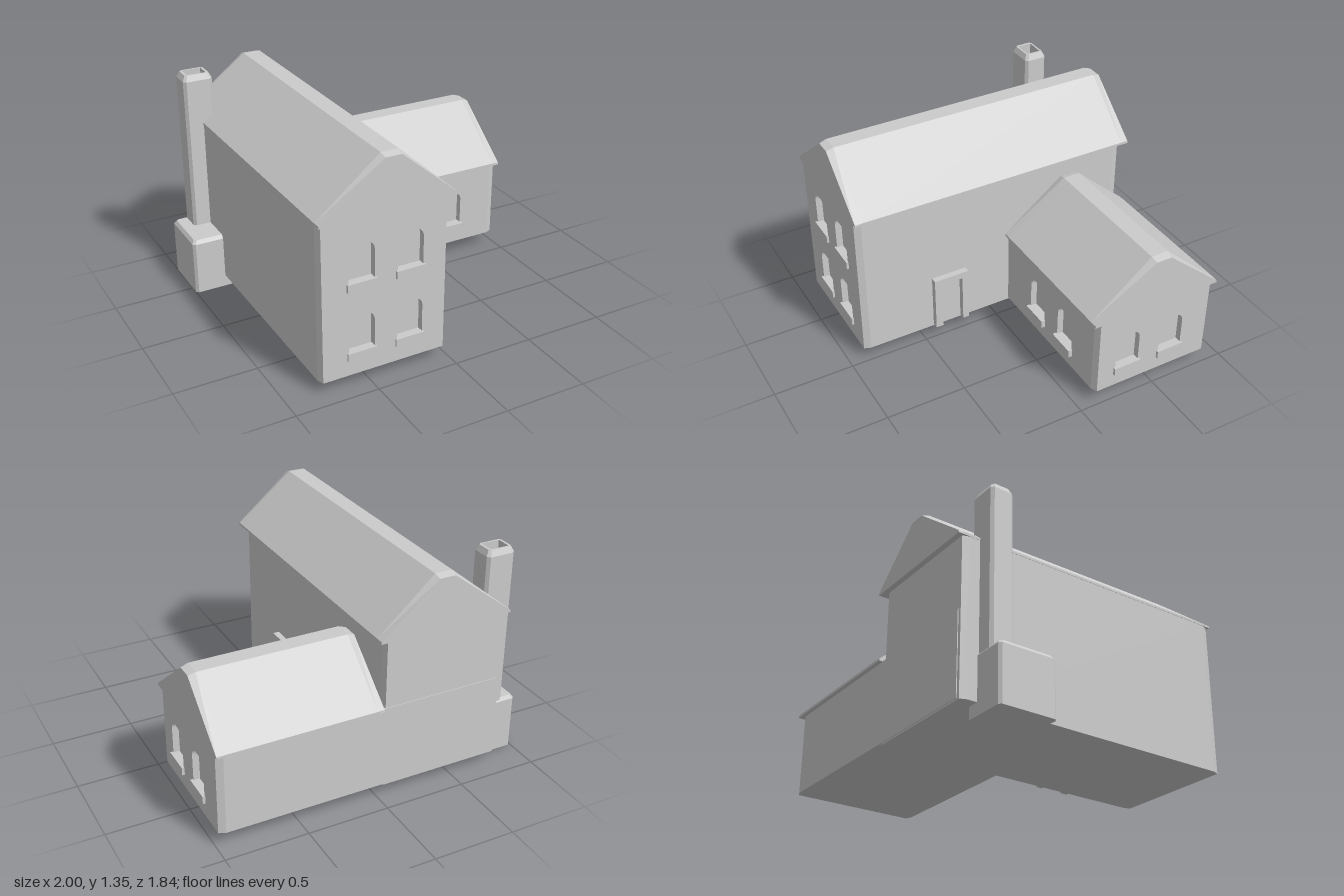
import * as THREE from 'three';

const material = new THREE.MeshStandardMaterial({ color: 0xcccccc, flatShading: true });

function mesh(name, geometry, x = 0, y = 0, z = 0) {
  const m = new THREE.Mesh(geometry, material);
  m.name = name;
  m.position.set(x, y, z);
  return m;
}

// Box given by its lower and upper corners
function box(name, [x0, y0, z0], [x1, y1, z1]) {
  return mesh(name, new THREE.BoxGeometry(x1 - x0, y1 - y0, z1 - z0),
    (x0 + x1) / 2, (y0 + y1) / 2, (z0 + z1) / 2);
}

function polygon(points) {
  return new THREE.Shape(points.map(([x, y]) => new THREE.Vector2(x, y)));
}

// Move every vertex by a rule, then renew the normals
function reshape(geometry, rule) {
  const p = geometry.attributes.position;
  const v = new THREE.Vector3();
  for (let i = 0; i < p.count; i++) {
    rule(v.fromBufferAttribute(p, i));
    p.setXYZ(i, v.x, v.y, v.z);
  }
  geometry.computeVertexNormals();
  return geometry;
}

// Window opening with rounded upper corners
function windowHole(cx, bottom, top, width = 0.158, r = 0.055) {
  const h = new THREE.Path();
  const a = cx - width / 2, b = cx + width / 2;
  h.moveTo(a, bottom);
  h.lineTo(b, bottom);
  h.lineTo(b, top - r);
  h.absarc(b - r, top - r, r, 0, Math.PI / 2);
  h.lineTo(a + r, top);
  h.absarc(a + r, top - r, r, Math.PI / 2, Math.PI);
  h.lineTo(a, bottom);
  return h;
}

// Wall panel facing +z with window recesses and sills; taper chamfers its upright edges
const WALL = 0.04;
function wallPanel(name, x0, x1, y0, y1, windows, taper, sillOut) {
  const g = new THREE.Group();
  g.name = name;
  const shape = polygon([[x0, y0], [x1, y0], [x1, y1], [x0, y1]]);
  for (const [cx, sillY] of windows) shape.holes.push(windowHole(cx, sillY + 0.02, sillY + 0.27));
  const geo = new THREE.ExtrudeGeometry(shape, { depth: WALL, bevelEnabled: false, curveSegments: 6 });
  reshape(geo, (v) => {
    if (v.z < WALL / 2) return;
    if (Math.abs(v.x - x0) < 1e-4) v.x += taper;
    else if (Math.abs(v.x - x1) < 1e-4) v.x -= taper;
  });
  g.add(mesh('wall', geo));
  for (const [cx, sillY] of windows) {
    g.add(box('windowSill', [cx - 0.09, sillY, 0.002], [cx + 0.09, sillY + 0.048, WALL + sillOut]));
  }
  return g;
}

// Gable roof along z: eaves e0..e1, flat ridge r0..r1, chamfered at both ends
function gableRoof(name, e0, e1, r0, r1, base, top, z0, z1) {
  const shape = polygon([[e0, base], [e1, base], [e1, base + 0.015], [r1, top], [r0, top], [e0, base + 0.015]]);
  const length = z1 - z0, inset = 0.045;
  const geo = new THREE.ExtrudeGeometry(shape, { depth: length, steps: 3, bevelEnabled: false });
  const mid = (r0 + r1) / 2;
  const shrink = 1 - 0.014 / (top - base);
  reshape(geo, (v) => {
    const t = Math.round((v.z / length) * 3);
    v.z = z0 + [0, inset, length - inset, length][t];
    if ((t === 0 || t === 3) && v.y > base + 0.001) {
      v.y = base + (v.y - base) * shrink;
      v.x = mid + (v.x - mid) * (v.y > base + 0.1 ? 0.9 : 0.995);
    }
  });
  return mesh(name, geo);
}

// Upright block with chamfered edges, optionally hollow
function chamferBlock(name, w, d, h, c, t, hole) {
  const a = w / 2, b = d / 2;
  const shape = polygon([[a - c, -b], [a, c - b], [a, b - c], [a - c, b], [c - a, b], [-a, b - c], [-a, c - b], [c - a, -b]]);
  if (hole) {
    const [u, v] = hole;
    shape.holes.push(polygon([[-u, -v], [-u, v], [u, v], [u, -v]]));
  }
  const geo = new THREE.ExtrudeGeometry(shape, { depth: h, steps: 2, bevelEnabled: false });
  reshape(geo, (v) => {
    const tier = Math.round((v.z / h) * 2);
    v.z = [0, h - t, h][tier];
    const outer = Math.abs(v.x) > a - c - 1e-4 && Math.abs(v.y) > b - c - 1e-4;
    if (tier === 2 && outer) {
      v.x *= (a - c) / a;
      v.y *= (b - c) / b;
    }
  });
  geo.rotateX(-Math.PI / 2);
  return mesh(name, geo);
}

export function createModel() {
  const house = new THREE.Group();
  house.name = 'house';

  // Main block: core, windowed front and plain back
  const main = new THREE.Group();
  main.name = 'mainBlock';
  main.add(box('mainCore', [-0.805, 0.074, -0.844], [-0.019, 1.02, 0.864]));
  const front = wallPanel('mainFrontWall', -0.805, -0.019, 0.074, 1.02,
    [[-0.553, 0.171], [-0.254, 0.171], [-0.553, 0.6], [-0.254, 0.6]], 0.015, 0.014);
  front.position.z = 0.864;
  const back = wallPanel('mainBackWall', 0.019, 0.805, 0.074, 1.02, [], 0.015, 0);
  back.rotation.y = Math.PI;
  back.position.z = -0.844;
  main.add(front, back);
  main.add(gableRoof('mainRoof', -0.807, 0.027, -0.425, -0.318, 1.02, 1.345, -0.917, 0.917));
  house.add(main);

  // Side wing: core, windowed front and windowed end
  const wing = new THREE.Group();
  wing.name = 'sideWing';
  wing.add(box('wingCore', [-0.77, 0.084, -0.889], [0.942, 0.59, -0.138]));
  const wingFront = wallPanel('wingFrontWall', -0.05, 0.942, 0.084, 0.59,
    [[0.34, 0.171], [0.645, 0.171]], 0, 0.025);
  wingFront.position.z = -0.138;
  const wingEnd = wallPanel('wingEndWall', 0.098, 0.889, 0.084, 0.59,
    [[0.313, 0.171], [0.616, 0.171]], 0.017, 0.016);
  wingEnd.rotation.y = Math.PI / 2;
  wingEnd.position.x = 0.942;
  const wingRoof = gableRoof('wingRoof', 0.07, 0.914, 0.453, 0.562, 0.587, 0.915, -0.012, 0.99);
  wingRoof.rotation.y = Math.PI / 2;
  wing.add(wingFront, wingEnd, wingRoof);
  house.add(wing);

  // Door surround on the side of the main block
  const doorShape = polygon([[-0.436, 0.084], [-0.387, 0.084], [-0.387, 0.4], [-0.249, 0.4],
    [-0.249, 0.084], [-0.207, 0.084], [-0.207, 0.442], [-0.436, 0.442]]);
  const door = mesh('doorFrame', new THREE.ExtrudeGeometry(doorShape, { depth: 0.05, bevelEnabled: false }), -0.03);
  door.rotation.y = Math.PI / 2;
  house.add(door);

  // Chimney: base block, hollow stack and the floor of its flue
  const chimney = new THREE.Group();
  chimney.name = 'chimney';
  const base = chamferBlock('chimneyBase', 0.28, 0.355, 0.357, 0.016, 0.022);
  base.position.set(-0.86, 0, -0.608);
  const stack = chamferBlock('chimneyStack', 0.183, 0.146, 1.045, 0.017, 0.035, [0.059, 0.046]);
  stack.position.set(-0.821, 0.3, -0.706);
  chimney.add(base, stack);
  chimney.add(box('flueFloor', [-0.882, 1.2, -0.754], [-0.76, 1.26, -0.658]));
  house.add(chimney);

  return house;
}
